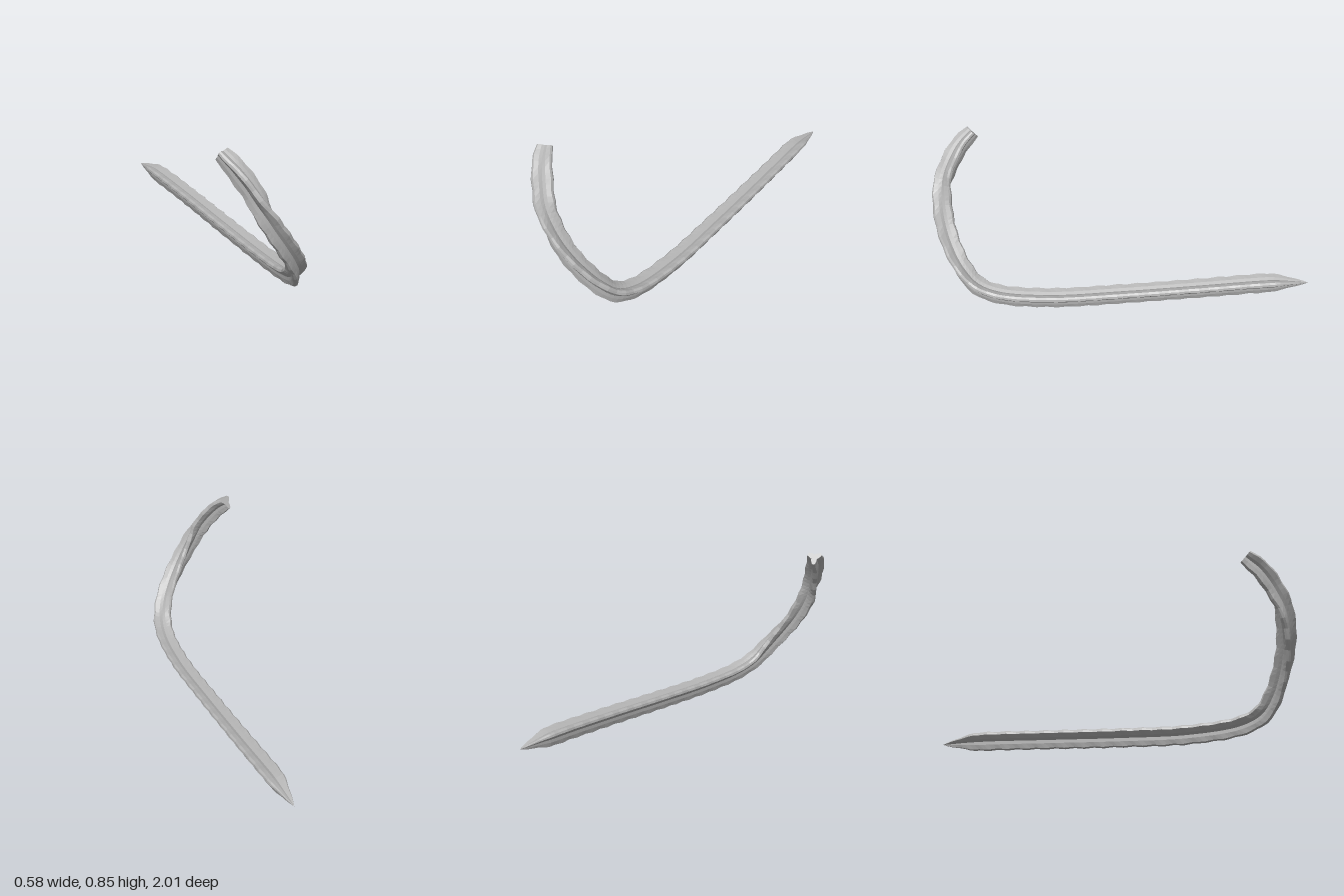
import * as THREE from 'three';

// Centreline from the cut end, down around the bend, to the pointed tip
const PATH = [
  [-0.262, 0.838, 0.775], [-0.23, 0.785, 0.837], [-0.18, 0.695, 0.9], [-0.135, 0.6, 0.94],
  [-0.08, 0.5, 0.952], [-0.015, 0.4, 0.943], [0.055, 0.3, 0.912], [0.115, 0.21, 0.865],
  [0.16, 0.13, 0.795], [0.19, 0.085, 0.68], [0.217, 0.066, 0.4], [0.228, 0.081, 0],
  [0.235, 0.103, -0.4], [0.236, 0.121, -0.8], [0.236, 0.115, -1],
].map((p) => new THREE.Vector3(...p));

// Three blunt ridges with hollows between them: [angle, radius factor]
function ridgedSection() {
  const pts = [];
  for (const ridge of [-90, 30, 150]) {
    for (const [a, r] of [[-32, 0.62], [-12, 0.98], [0, 1.02], [12, 0.98], [32, 0.62], [60, 0.4]]) {
      pts.push([THREE.MathUtils.degToRad(ridge + a), r]);
    }
  }
  return pts;
}

function stemGeometry() {
  const curve = new THREE.CatmullRomCurve3(PATH, false, 'centripetal');
  curve.arcLengthDivisions = 1000;
  const length = curve.getLength();
  const section = ridgedSection();
  const n = section.length;
  const bumps = 25, rings = bumps * 4, radius = 0.056;
  const up = new THREE.Vector3(0, 1, 0);
  const pos = [], index = [];

  for (let i = 0; i <= rings; i++) {
    const u = i / rings;
    const c = curve.getPointAt(u);
    const t = curve.getTangentAt(u);
    const side = new THREE.Vector3().crossVectors(t, up).normalize();
    const normal = new THREE.Vector3().crossVectors(side, t);
    // scalloped ridges, slight narrowing at the cut end, long taper at the tip
    const scallop = 1 - 0.05 * Math.cos(u * bumps * Math.PI * 2);
    const start = 0.8 + 0.2 * Math.min(1, (u * length) / 0.12);
    const tip = Math.pow(Math.min(1, ((1 - u) * length) / 0.2), 0.85);
    for (const [a, f] of section) {
      const r = radius * f * start * tip * (f > 0.9 ? scallop : 1);
      const p = c.clone().addScaledVector(side, r * Math.cos(a)).addScaledVector(normal, r * Math.sin(a));
      pos.push(p.x, p.y, p.z);
    }
  }
  for (let i = 0; i < rings; i++) {
    for (let j = 0; j < n; j++) {
      const k = (j + 1) % n;
      const a = i * n + j, b = (i + 1) * n + j, c = i * n + k, d = (i + 1) * n + k;
      index.push(a, b, c);
      if (i < rings - 1) index.push(b, d, c);
    }
  }
  // flat cut end
  const centre = pos.length / 3;
  pos.push(...PATH[0].toArray());
  for (let j = 0; j < n; j++) index.push(centre, j, (j + 1) % n);

  const g = new THREE.BufferGeometry();
  g.setAttribute('position', new THREE.Float32BufferAttribute(pos, 3));
  g.setIndex(index);
  const flat = g.toNonIndexed();
  flat.computeVertexNormals();
  return flat;
}

export function createModel() {
  const grey = new THREE.MeshStandardMaterial({ color: 0xb4b4b4, flatShading: true });
  grey.name = 'grey';
  const stem = new THREE.Mesh(stemGeometry(), grey);
  stem.name = 'ridgedStem';
  const group = new THREE.Group();
  group.name = 'curvedStem';
  group.add(stem);
  return group;
}
